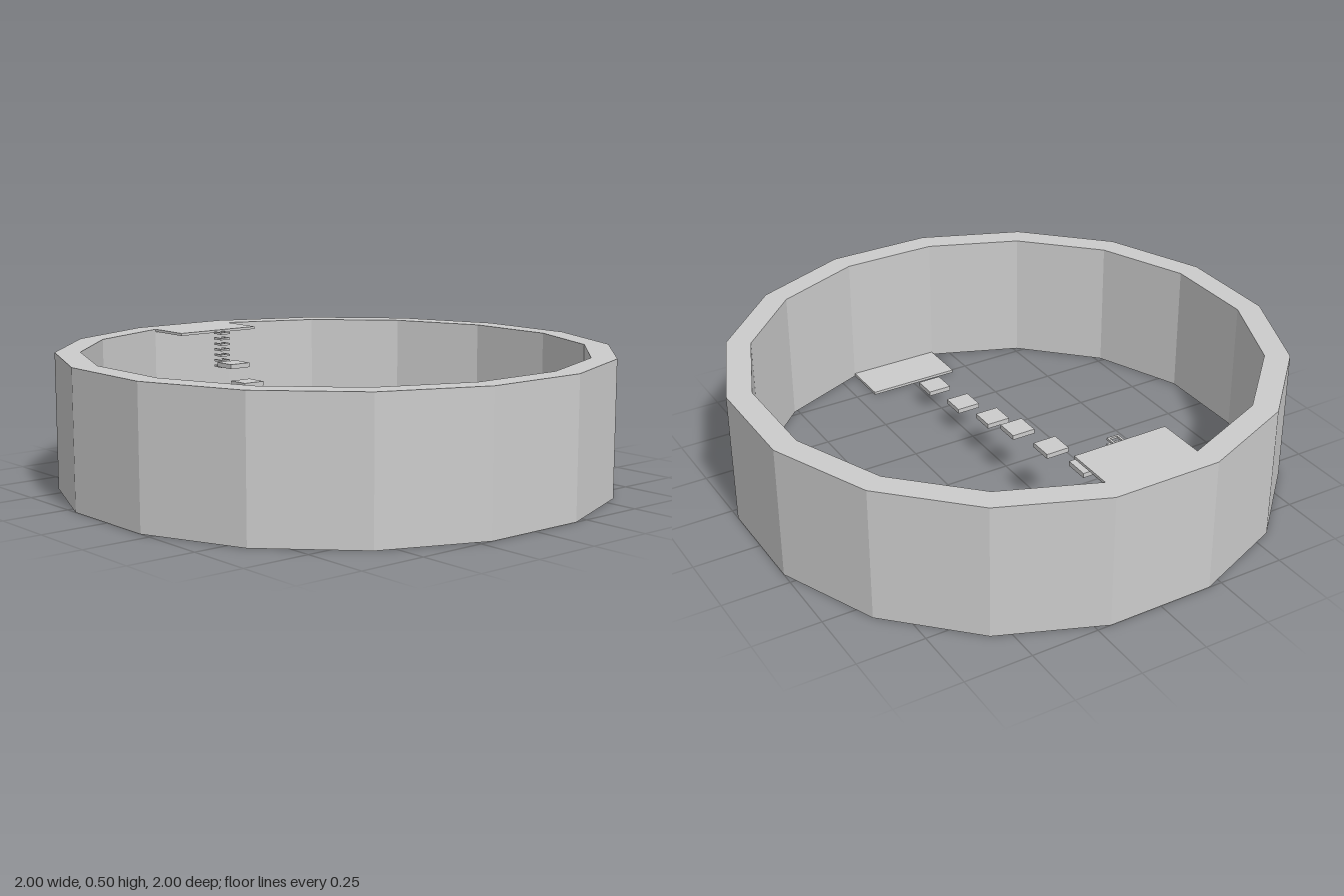
import * as THREE from 'three';

const stone = new THREE.MeshStandardMaterial({ color: 0xcccccc });
stone.name = 'pale grey';

// 16 corners of a regular polygon whose flat sides lie at the given distance
function corners(apothem) {
  const r = apothem / Math.cos(Math.PI / 16);
  return Array.from({ length: 16 }, (_, i) => {
    const a = ((i + 0.5) * Math.PI) / 8;
    return new THREE.Vector2(r * Math.cos(a), r * Math.sin(a));
  });
}

// Box given by its extents on x, its top height, thickness and z range
function slab(name, x0, x1, top, thick, z0, z1) {
  const mesh = new THREE.Mesh(new THREE.BoxGeometry(x1 - x0, thick, z1 - z0), stone);
  mesh.position.set((x0 + x1) / 2, top - thick / 2, (z0 + z1) / 2);
  mesh.name = name;
  return mesh;
}

export function createModel() {
  const model = new THREE.Group();
  model.name = 'steppingStoneArena';

  // Sixteen-sided wall, open above and below
  const outline = new THREE.Shape(corners(1));
  outline.holes.push(new THREE.Path(corners(0.91)));
  const wallGeometry = new THREE.ExtrudeGeometry(outline, { depth: 0.5, bevelEnabled: false });
  wallGeometry.rotateX(-Math.PI / 2);
  const wall = new THREE.Mesh(wallGeometry, stone);
  wall.name = 'ringWall';
  model.add(wall);

  // Start platform flush with the rim, goal platform at the foot of the wall
  model.add(slab('upperPlatform', -0.91, -0.73, 0.5, 0.01, -0.18, 0.18));
  model.add(slab('lowerPlatform', 0.73, 0.91, 0.011, 0.011, -0.18, 0.18));

  // Floating steps descending across the ring
  const steps = [
    [-0.64, 0.378], [-0.55, 0.314], [-0.32, 0.265], [-0.09, 0.221],
    [0.09, 0.175], [0.315, 0.125], [0.545, 0.088],
  ];
  for (const [x, top] of steps) {
    model.add(slab('floatingStep', x - 0.045, x + 0.045, top, 0.018, -0.05, 0.04));
  }

  // Ladder of U-shaped rungs below the upper platform
  const ladder = new THREE.Group();
  ladder.name = 'ladder';
  for (let i = 0; i < 7; i++) {
    const top = 0.494 - i * 0.022;
    ladder.add(slab('rungBar', -0.692, -0.684, top, 0.008, -0.022, 0.022));
    for (const z of [-0.022, 0.014]) {
      ladder.add(slab('rungArm', -0.73, -0.692, top, 0.008, z, z + 0.008));
    }
  }
  model.add(ladder);

  return model;
}
